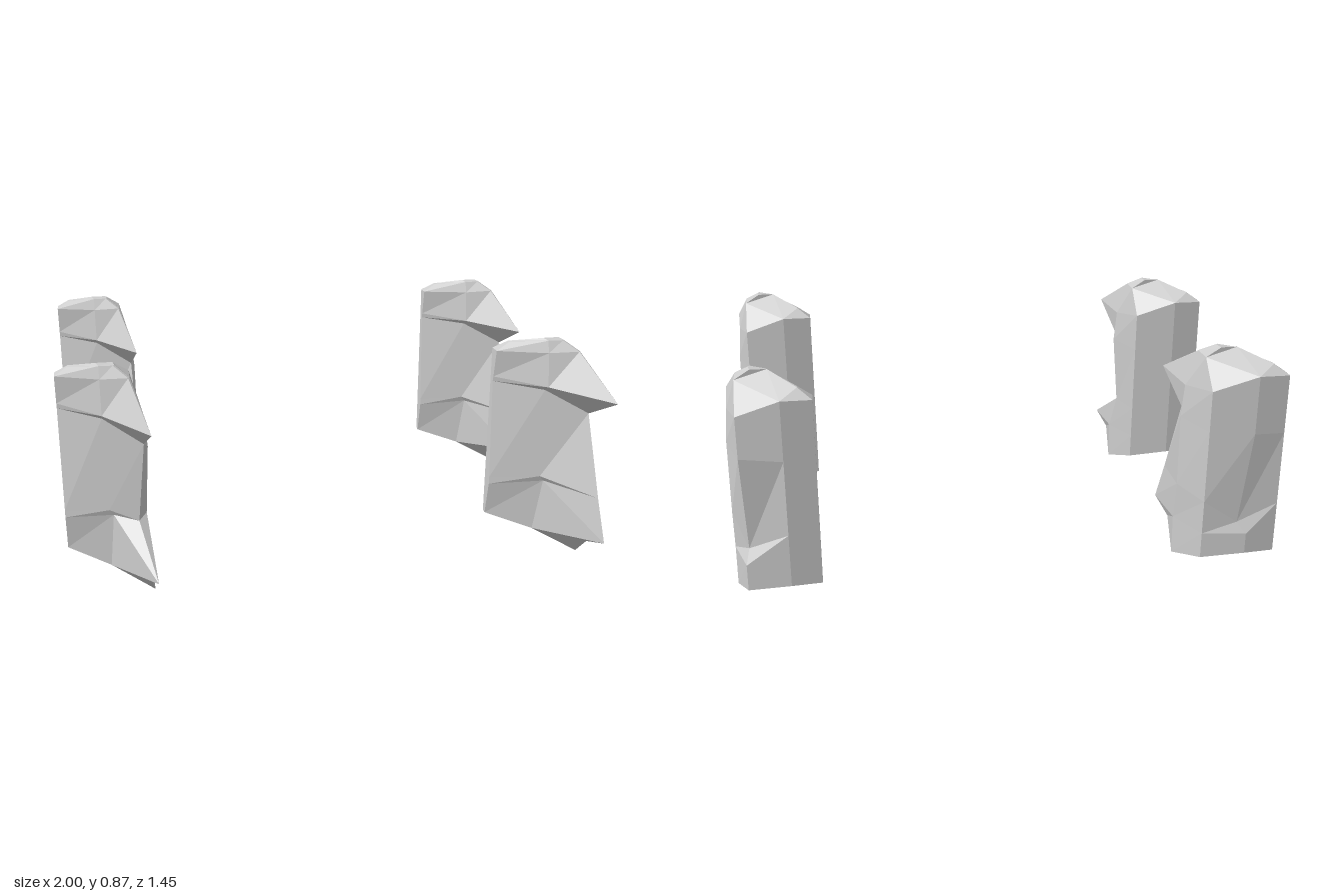
import * as THREE from 'three';

// Each ring runs round the plate: back end, back, corner, side, front edge, inner corner, inner end.
const RINGS = [
  // underside
  [[-1, .105, .26], [-.89, .1, .26], [-.735, .07, .305], [-.685, 0, .49], [-.7, .1, .61], [-.84, .07, .4], [-1, .1, .28]],
  // lower tip
  [[-1, .18, .26], [-.89, .18, .26], [-.735, .17, .305], [-.685, .15, .5], [-.68, .14, .72], [-.82, .29, .43], [-1, .24, .31]],
  // above the lower tip
  [[-1, .3, .26], [-.89, .3, .26], [-.735, .3, .305], [-.685, .3, .48], [-.69, .3, .655], [-.835, .31, .43], [-1, .27, .31]],
  // notch under the beak
  [[-1, .58, .26], [-.89, .58, .26], [-.735, .58, .305], [-.685, .575, .49], [-.7, .6, .53], [-.84, .67, .43], [-1, .67, .285]],
  // beak tip
  [[-1, .7, .26], [-.89, .7, .26], [-.735, .735, .305], [-.695, .7, .49], [-.68, .7, .72], [-.84, .69, .46], [-1, .69, .29]],
  // rim
  [[-1, .8, .26], [-.89, .8, .26], [-.735, .835, .4], [-.735, .835, .48], [-.74, .835, .49], [-.84, .82, .44], [-1, .8, .31]],
  // crest
  [[-.95, .835, .295], [-.85, .87, .4], [-.79, .87, .4], [-.785, .87, .435], [-.79, .87, .445], [-.84, .865, .425], [-.95, .835, .31]],
];

// Four plates with the worn corners that set them apart: [ring, column, point]
const PLATES = [
  { name: 'frontRightPlate', x: 0, z: 0, wear: [[2, 3, [-.7, .3, .45]], [2, 4, [-.73, .29, .5]]] },
  { name: 'frontLeftPlate', x: 1.68, z: 0, wear: [] },
  { name: 'backRightPlate', x: 0, z: -.985, wear: [[2, 1, [-.86, .22, .285]]] },
  { name: 'backLeftPlate', x: 1.68, z: -.985, wear: [[2, 2, [-.745, .21, .36]]] },
];

function plateGeometry(wear) {
  const rings = RINGS.map(r => r.slice());
  for (const [ring, column, point] of wear) rings[ring][column] = point;
  const n = rings[0].length, last = rings.length - 1, pos = [];
  const tri = (a, b, c) => pos.push(...a, ...b, ...c);
  // walls
  for (let r = 0; r < last; r++) {
    for (let i = 0; i < n; i++) {
      const j = (i + 1) % n;
      const a = rings[r][i], b = rings[r][j], c = rings[r + 1][j], d = rings[r + 1][i];
      tri(a, d, b);
      tri(b, d, c);
    }
  }
  // underside and crest, fanned from the inner corner
  const hub = 5;
  for (let k = 1; k < n - 1; k++) {
    const i = (hub + k) % n, j = (hub + k + 1) % n;
    tri(rings[0][hub], rings[0][i], rings[0][j]);
    tri(rings[last][hub], rings[last][j], rings[last][i]);
  }
  const geo = new THREE.BufferGeometry();
  geo.setAttribute('position', new THREE.Float32BufferAttribute(pos, 3));
  geo.computeVertexNormals();
  return geo;
}

export function createModel() {
  const group = new THREE.Group();
  const material = new THREE.MeshStandardMaterial({ color: 0xcccccc, flatShading: true });
  for (const { name, x, z, wear } of PLATES) {
    const plate = new THREE.Mesh(plateGeometry(wear), material);
    plate.name = name;
    plate.position.set(x, 0, z);
    group.add(plate);
  }
  return group;
}
